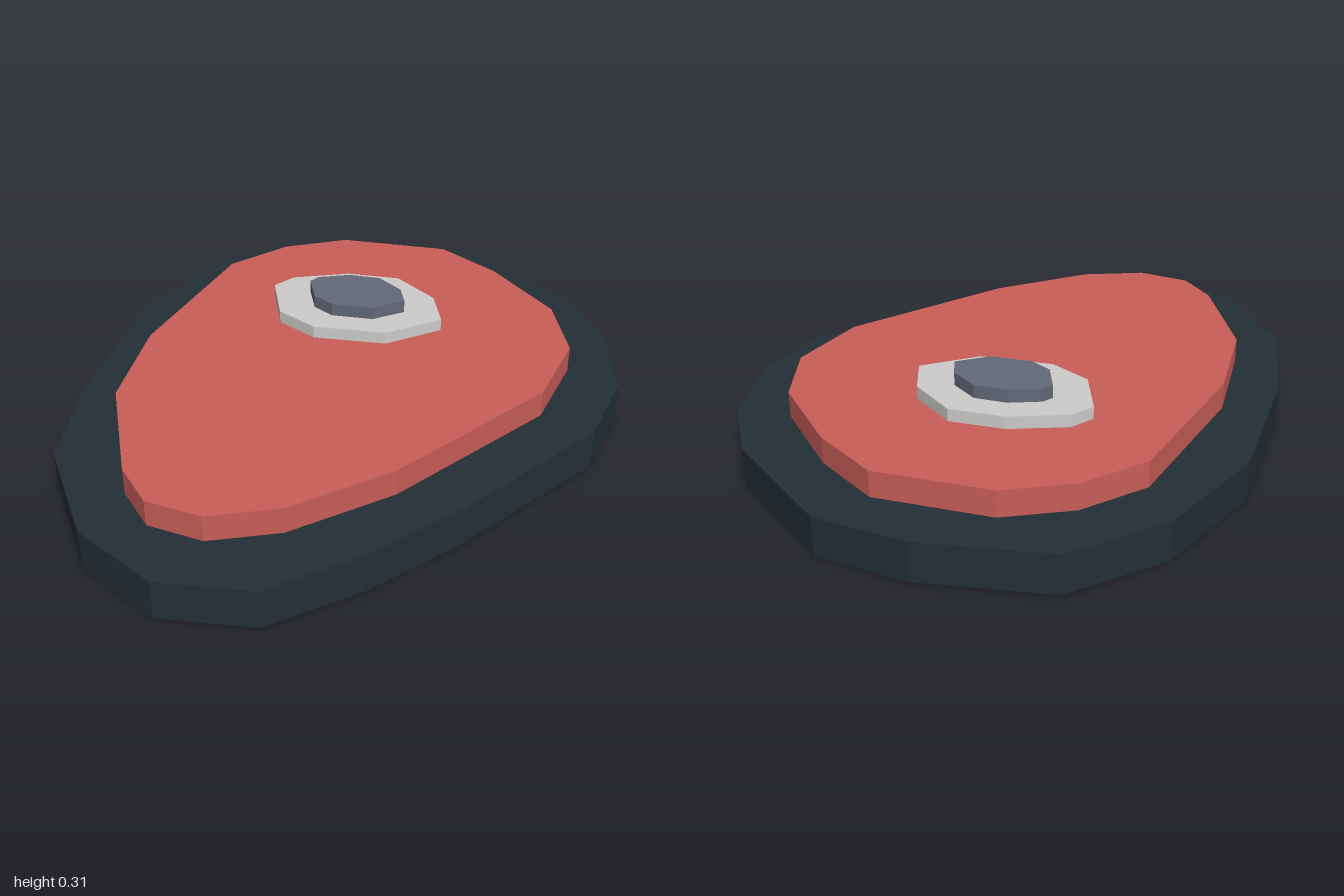
import * as THREE from 'three';

const material = (name, color) =>
  new THREE.MeshStandardMaterial({ name, color, side: THREE.DoubleSide });

// Open-bottomed slab: flat top plus upright walls; outline is [x, z] pairs
function slab(name, outline, bottom, top, mat) {
  const n = outline.length;
  const cx = outline.reduce((s, p) => s + p[0], 0) / n;
  const cz = outline.reduce((s, p) => s + p[1], 0) / n;
  const pos = [];
  for (let i = 0; i < n; i++) {
    const [ax, az] = outline[i];
    const [bx, bz] = outline[(i + 1) % n];
    // top
    pos.push(cx, top, cz, bx, top, bz, ax, top, az);
    // wall
    pos.push(ax, top, az, bx, top, bz, bx, bottom, bz);
    pos.push(ax, top, az, bx, bottom, bz, ax, bottom, az);
  }
  const geo = new THREE.BufferGeometry();
  geo.setAttribute('position', new THREE.Float32BufferAttribute(pos, 3));
  geo.computeVertexNormals();
  const mesh = new THREE.Mesh(geo, mat);
  mesh.name = name;
  return mesh;
}

const rindOutline = [
  [0.07, -1], [0.48, -0.87], [0.74, -0.70], [0.95, -0.27], [0.975, 0.01], [0.89, 0.31],
  [0.70, 0.54], [0.18, 0.80], [-0.16, 0.93], [-0.48, 1], [-0.76, 0.89], [-0.935, 0.63],
  [-0.98, 0.24], [-0.85, -0.14], [-0.59, -0.61], [-0.27, -0.89],
];
const meatOutline = [
  [-0.02, -0.79], [0.22, -0.79], [0.57, -0.62], [0.70, -0.40], [0.80, -0.08], [0.76, 0.18],
  [0.57, 0.41], [0, 0.69], [-0.36, 0.78], [-0.59, 0.76], [-0.74, 0.65], [-0.785, 0.49],
  [-0.765, 0.08], [-0.615, -0.25], [-0.25, -0.70],
];
const boneOutline = [
  [-0.06, -0.46], [0.14, -0.44], [0.31, -0.36], [0.39, -0.19], [0.37, -0.04],
  [0.16, 0], [-0.07, -0.10], [-0.16, -0.23], [-0.14, -0.42],
];
const marrowOutline = [
  [0.01, -0.36], [0.12, -0.35], [0.22, -0.30], [0.27, -0.20], [0.26, -0.12],
  [0.14, -0.10], [0.01, -0.16], [-0.035, -0.23], [-0.025, -0.34],
];

export function createModel() {
  const group = new THREE.Group();
  group.name = 'steak';
  group.add(
    slab('rind', rindOutline, 0, 0.135, material('dark navy', 0x232e36)),
    // the meat reaches down through the rind's top
    slab('meat', meatOutline, 0.068, 0.225, material('meat red', 0xc85e57)),
    slab('bone', boneOutline, 0.18, 0.268, material('bone grey', 0xcdcccb)),
    slab('marrow', marrowOutline, 0.23, 0.313, material('slate grey', 0x626977)),
  );
  return group;
}
